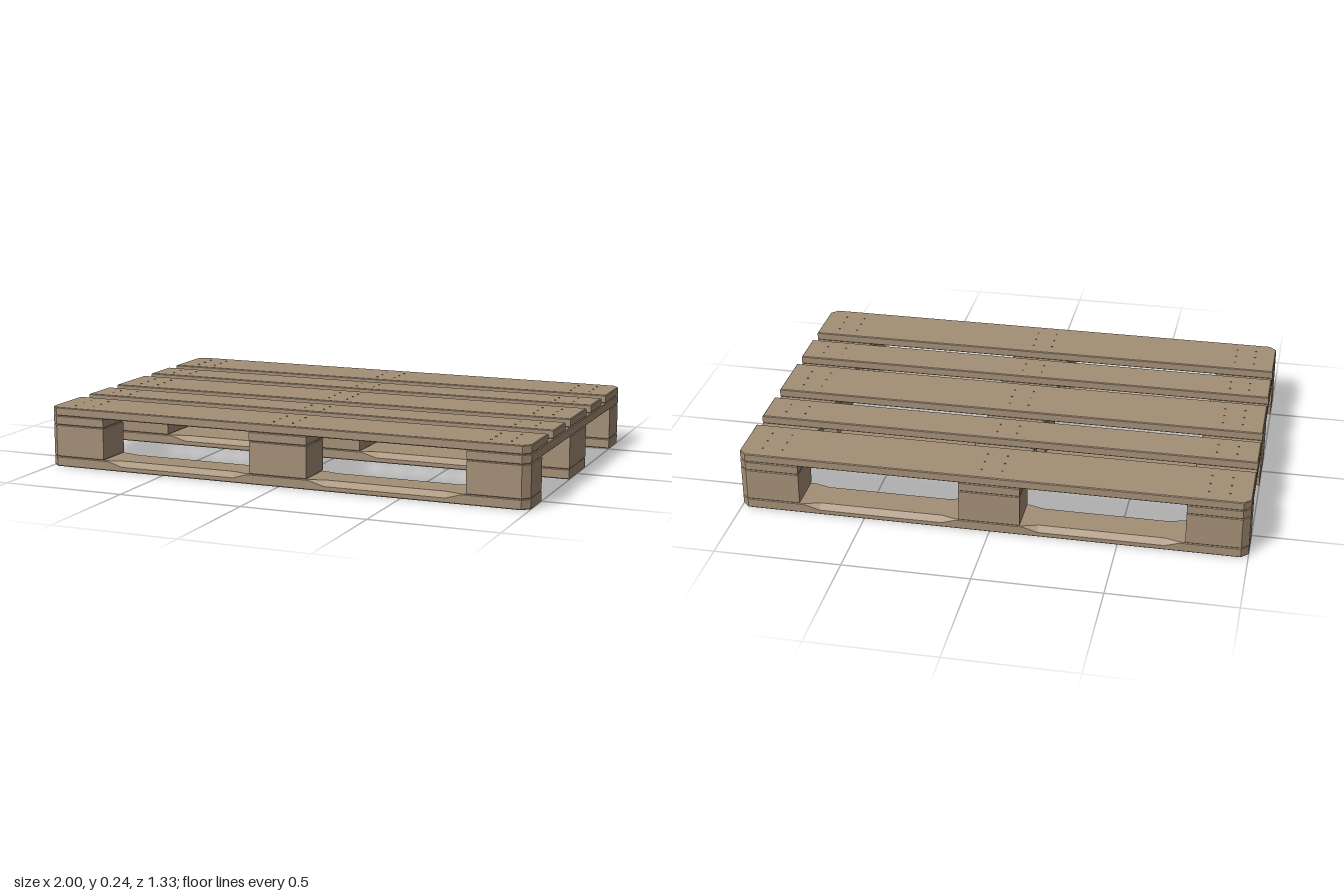
import * as THREE from 'three';

const HX = 1, HZ = 0.667;          // half length and half depth
const CUT = 0.028, EDGE = 0.003;   // corner cut and worn edge
const Y = { board: 0.04, block: 0.17, stringer: 0.207, top: 0.241 };

const wood = new THREE.MeshStandardMaterial({ color: 0xa48f76 });
wood.name = 'wood';
const steel = new THREE.MeshStandardMaterial({ color: 0x6b6259 });
steel.name = 'nail steel';

// Slab with slightly broken edges; corners on the pallet's own corners are cut off
function slab(name, x0, x1, z0, z1, y0, y1) {
  const pts = [];
  const corners = [[x0, z0], [x1, z0], [x1, z1], [x0, z1]];
  corners.forEach(([x, z], i) => {
    if (Math.abs(x) < HX - 0.001 || Math.abs(z) < HZ - 0.001) {
      pts.push(new THREE.Vector2(x, -z));
      return;
    }
    const alongX = new THREE.Vector2(x - Math.sign(x) * CUT, -z);
    const alongZ = new THREE.Vector2(x, -(z - Math.sign(z) * CUT));
    pts.push(...(i % 2 ? [alongX, alongZ] : [alongZ, alongX]));
  });
  const geo = new THREE.ExtrudeGeometry(new THREE.Shape(pts), {
    depth: y1 - y0 - 2 * EDGE, bevelThickness: EDGE, bevelSize: EDGE,
    bevelOffset: -EDGE, bevelSegments: 1,
  });
  geo.rotateX(-Math.PI / 2).translate(0, y0 + EDGE, 0);
  const mesh = new THREE.Mesh(geo, wood);
  mesh.name = name;
  return mesh;
}

// Bottom board: cross-sections along x, upper edges chamfered at the fork openings
function bottomBoard(z0, z1) {
  const c = 0.021;
  const half = [[0.13, EDGE], [0.19, c], [0.68, c], [0.74, EDGE], [HX - CUT, EDGE], [HX, EDGE]];
  const stations = [...half.map(([x, k]) => [-x, k]).reverse(), ...half];
  const pos = [], index = [], N = 8;
  stations.forEach(([x, k]) => {
    const end = Math.abs(x) === HX;
    const a = end && z0 < -HZ + 0.001 ? z0 + CUT : z0;
    const b = end && z1 > HZ - 0.001 ? z1 - CUT : z1;
    const t = Y.board, e = EDGE;
    [[a + e, 0], [b - e, 0], [b, e], [b, t - k], [b - k, t], [a + k, t], [a, t - k], [a, e]]
      .forEach(([z, y]) => pos.push(x, y, z));
  });
  for (let s = 0; s < stations.length - 1; s++) {
    for (let i = 0; i < N; i++) {
      const p = s * N + i, q = s * N + (i + 1) % N;
      index.push(p, p + N, q, q, p + N, q + N);
    }
  }
  const last = (stations.length - 1) * N;
  for (let i = 1; i < N - 1; i++) {
    index.push(0, i, i + 1, last, last + i + 1, last + i);
  }
  const indexed = new THREE.BufferGeometry();
  indexed.setAttribute('position', new THREE.Float32BufferAttribute(pos, 3));
  indexed.setIndex(index);
  const geo = indexed.toNonIndexed();
  geo.computeVertexNormals();
  const mesh = new THREE.Mesh(geo, wood);
  mesh.name = 'bottomBoard';
  return mesh;
}

export function createModel() {
  const pallet = new THREE.Group();
  pallet.name = 'pallet';

  const columns = [[-HX, -0.76], [-0.12, 0.12], [0.76, HX]];
  const rows = [[-HZ, -0.502], [-0.12, 0.12], [0.502, HZ]];
  const deck = [[-HZ, -0.427], [-0.355, -0.19], [-0.12, 0.12], [0.19, 0.355], [0.427, HZ]];

  // Bottom boards and the nine blocks
  rows.forEach(([z0, z1]) => {
    pallet.add(bottomBoard(z0, z1));
    columns.forEach(([x0, x1]) => pallet.add(slab('block', x0, x1, z0, z1, Y.board, Y.block)));
  });

  // Cross boards and deck boards
  columns.forEach(([x0, x1]) => pallet.add(slab('crossBoard', x0, x1, -HZ, HZ, Y.block, Y.stringer)));
  deck.forEach(([z0, z1]) => pallet.add(slab('deckBoard', -HX, HX, z0, z1, Y.stringer, Y.top)));

  // Nail heads, proud of the deck and of the underside
  const nails = new THREE.Group();
  nails.name = 'nails';
  const head = new THREE.CylinderGeometry(0.004, 0.004, 0.003, 8);
  const addNails = (x, z, zOffsets, y) => {
    for (const dx of [-0.04, 0.04]) {
      for (const dz of zOffsets) {
        const nail = new THREE.Mesh(head, steel);
        nail.name = 'nail';
        nail.position.set(x + dx, y, z + dz);
        nails.add(nail);
      }
    }
  };
  for (const x of [-0.875, 0, 0.875]) {
    deck.forEach(([z0, z1]) => {
      const wide = z1 - z0 > 0.2;
      addNails(x, (z0 + z1) / 2, wide ? [-0.06, 0, 0.06] : [-0.03, 0.03], Y.top);
    });
    rows.forEach(([z0, z1]) => addNails(x, (z0 + z1) / 2, [-0.03, 0.03], 0.0005));
  }
  pallet.add(nails);

  return pallet;
}
